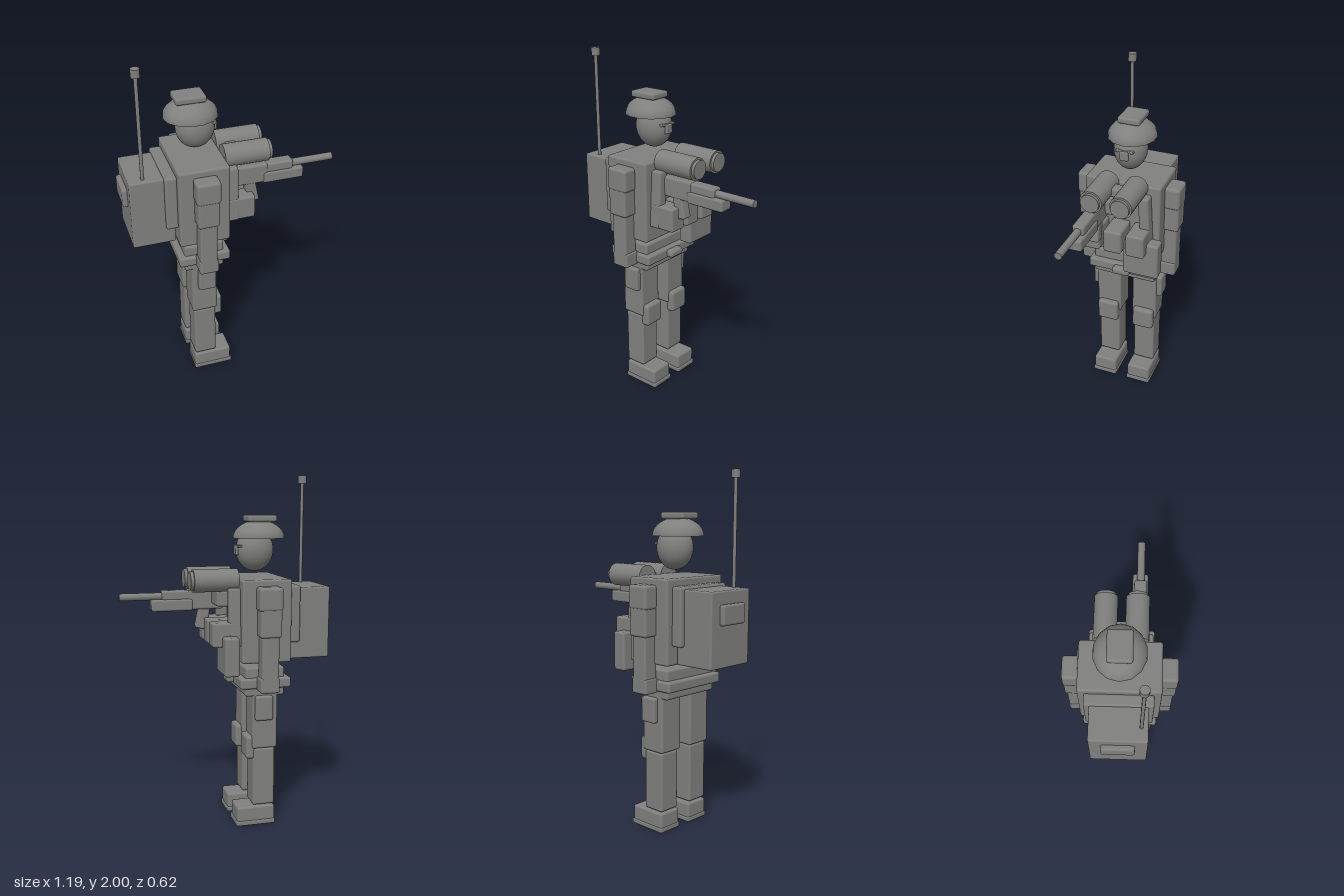
import * as THREE from 'three';
import { RoundedBoxGeometry } from 'three/addons/geometries/RoundedBoxGeometry.js';

export function createModel() {
  const model = new THREE.Group();
  model.name = 'fieldSoldier';
  const grey = new THREE.MeshStandardMaterial({ color: 0x80807e });
  grey.name = 'plain grey';

  const add = (name, geometry, x, y, z) => {
    const mesh = new THREE.Mesh(geometry, grey);
    mesh.name = name;
    mesh.position.set(x, y, z);
    model.add(mesh);
    return mesh;
  };
  // rounded box between two corners
  const box = (name, [x0, x1], [y0, y1], [z0, z1], r = 0.013) => {
    const w = x1 - x0, h = y1 - y0, d = z1 - z0;
    const radius = Math.min(r, w * 0.45, h * 0.45, d * 0.45);
    return add(name, new RoundedBoxGeometry(w, h, d, 2, radius), (x0 + x1) / 2, (y0 + y1) / 2, (z0 + z1) / 2);
  };
  // the same box on both sides of the body
  const pair = (name, xs, ys, [z0, z1], r) => [
    box(name + 'Left', xs, ys, [-z1, -z0], r),
    box(name + 'Right', xs, ys, [z0, z1], r),
  ];
  // cylinder along x
  const tube = (name, [x0, x1], y, z, r, sides = 24) => {
    const mesh = add(name, new THREE.CylinderGeometry(r, r, x1 - x0, sides), (x0 + x1) / 2, y, z);
    mesh.rotation.z = -Math.PI / 2;
    return mesh;
  };

  // legs
  pair('sole', [-0.25, -0.017], [0, 0.03], [0.036, 0.19], 0.008);
  pair('boot', [-0.247, -0.023], [0.018, 0.113], [0.04, 0.186]);
  pair('shin', [-0.245, -0.115], [0.12, 0.463], [0.05, 0.182]);
  pair('thigh', [-0.255, -0.108], [0.465, 0.8], [0.038, 0.19]);
  pair('kneePad', [-0.13, -0.075], [0.402, 0.538], [0.05, 0.18], 0.018);
  pair('hipPouch', [-0.222, -0.12], [0.637, 0.78], [0.17, 0.22]);

  // waist
  box('pelvis', [-0.293, -0.067], [0.775, 0.942], [-0.19, 0.19]);
  box('belt', [-0.327, -0.033], [0.822, 0.882], [-0.212, 0.212]);
  box('buckle', [-0.05, 0.007], [0.828, 0.874], [-0.053, 0.053], 0.018);

  // torso and shoulder straps
  box('torso', [-0.322, -0.038], [0.97, 1.436], [-0.222, 0.222]);
  pair('strap', [-0.045, 0.025], [1.06, 1.388], [0.12, 0.18]).forEach((strap, i) => {
    strap.rotation.x = i ? -0.06 : 0.06;
  });

  // arms
  pair('shoulderPad', [-0.246, -0.112], [1.27, 1.402], [0.215, 0.308], 0.018);
  pair('upperArm', [-0.241, -0.12], [1.125, 1.39], [0.215, 0.304]);
  pair('forearm', [-0.23, -0.132], [0.86, 1.135], [0.205, 0.295]);
  pair('hand', [-0.235, -0.125], [0.812, 0.9], [0.2, 0.295]);

  // chest gear
  for (const [i, z] of [-0.13, 0.003, 0.132].entries())
    box('magazinePouch' + (i + 1), [-0.04, 0.12], [1.062, 1.2], [z - 0.053, z + 0.053]);
  box('sideBag', [-0.018, 0.066], [0.907, 1.125], [-0.25, -0.04]);
  box('chestRadio', [-0.04, 0.07], [1.275, 1.365], [-0.075, 0.07]);

  // binoculars
  for (const [side, z] of [['Left', -0.086], ['Right', 0.084]]) {
    tube('binocularBarrel' + side, [-0.04, 0.212], 1.426, z, 0.064);
    tube('binocularLens' + side, [0.2, 0.23], 1.426, z, 0.053);
  }
  box('binocularBridge', [0, 0.07], [1.39, 1.445], [-0.04, 0.04]);

  // rifle
  box('rifleReceiver', [0, 0.207], [1.245, 1.36], [0.06, 0.135]);
  box('rifleHandguard', [0.18, 0.417], [1.24, 1.308], [0.053, 0.14]);
  box('rifleTopRail', [0.18, 0.356], [1.3, 1.357], [0.062, 0.132]);
  tube('rifleBarrel', [0.33, 0.597], 1.324, 0.098, 0.021, 16);
  box('rifleMagazine', [0.085, 0.148], [1.13, 1.27], [0.07, 0.132], 0.01).rotation.z = 0.2;

  // backpack and antenna
  box('backPanel', [-0.385, -0.318], [1.075, 1.396], [-0.187, 0.183]);
  box('backpack', [-0.57, -0.33], [0.975, 1.382], [-0.157, 0.155], 0.01);
  box('backpackPatch', [-0.598, -0.56], [1.202, 1.312], [-0.092, 0.088]);
  add('antenna', new THREE.CylinderGeometry(0.01, 0.01, 0.6, 10), -0.49, 1.67, 0.118);
  add('antennaTip', new THREE.CylinderGeometry(0.024, 0.024, 0.044, 14), -0.49, 1.978, 0.118);

  // head
  add('head', new THREE.SphereGeometry(1, 32, 20), -0.167, 1.587, 0).scale.set(0.108, 0.121, 0.094);
  box('nose', [-0.085, -0.05], [1.557, 1.612], [-0.025, 0.025], 0.008);
  box('browBar', [-0.085, -0.058], [1.602, 1.616], [-0.052, 0.052], 0.005);

  // helmet: closed low dome with a flat cap
  const dome = new THREE.SphereGeometry(1, 14, 8, 0, Math.PI * 2, 0, Math.PI / 2);
  add('helmet', dome, -0.19, 1.652, 0).scale.set(0.15, 0.1, 0.138);
  const underside = add('helmetUnderside', new THREE.CircleGeometry(1, 14), -0.19, 1.652, 0);
  underside.rotation.x = Math.PI / 2;
  underside.scale.set(0.15, 0.138, 1);
  box('helmetCap', [-0.282, -0.114], [1.742, 1.78], [-0.065, 0.065]);

  return model;
}
